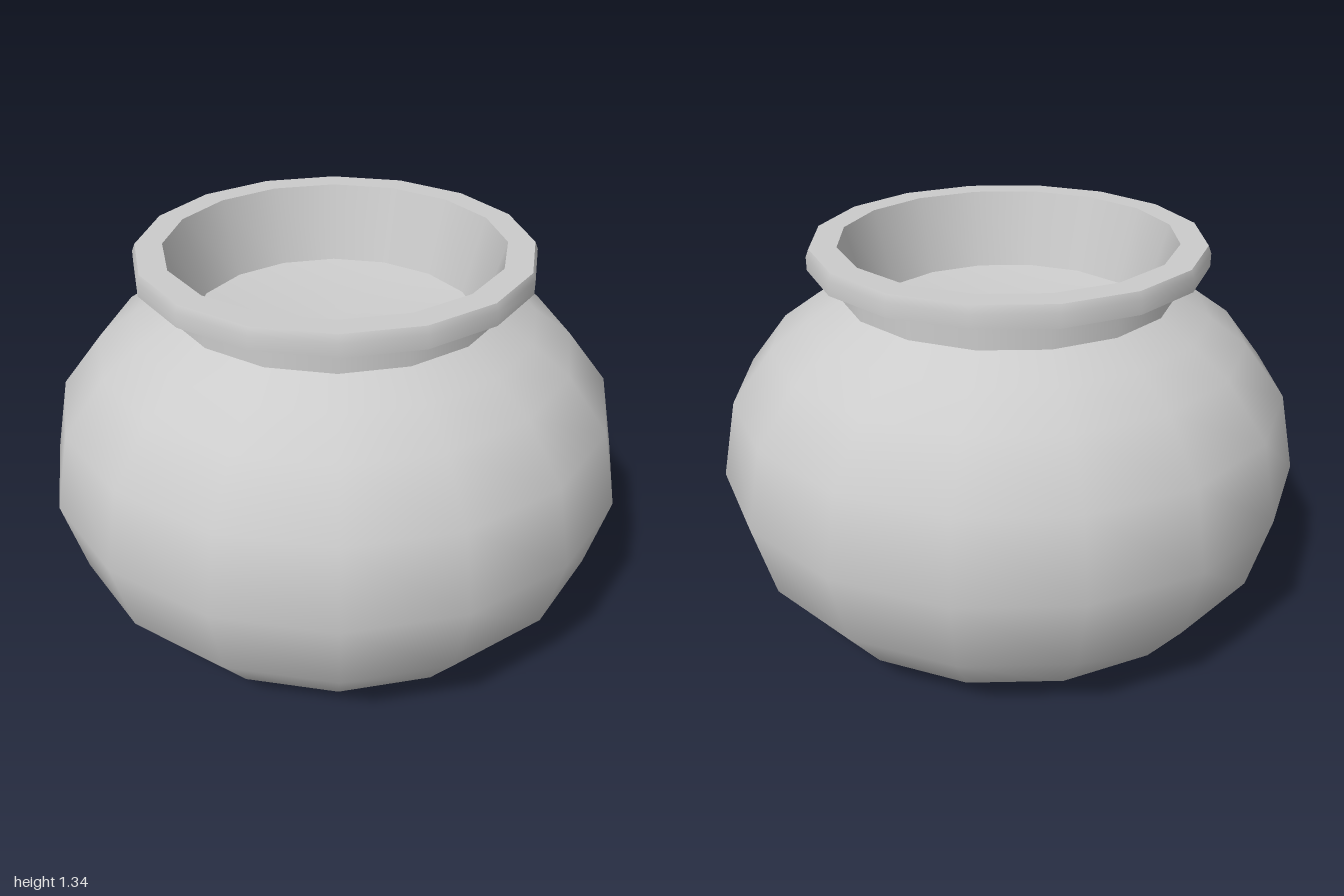
import * as THREE from 'three';

const SIDES = 16;

// Each profile runs bottom-to-top outside, then down the inside, so faces point outward.
// Separate profiles meet at sharp edges; points within one profile shade smoothly.
const PARTS = {
  base: [[0, 0], [0.65, 0]],
  body: [[0.65, 0], [0.79, 0.11], [0.93, 0.29], [1, 0.555], [0.945, 0.82], [0.805, 1.0], [0.68, 1.09], [0.565, 1.16]],
  neck: [[0.565, 1.16], [0.565, 1.265]],
  lipUnderside: [[0.565, 1.265], [0.665, 1.265]],
  lipSide: [[0.665, 1.265], [0.665, 1.31], [0.655, 1.335]],
  lipTop: [[0.655, 1.335], [0.565, 1.335]],
  innerWall: [[0.565, 1.335], [0.49, 1.07]],
  innerFloor: [[0.49, 1.07], [0.28, 1.04], [0, 1.03]],
};

export function createModel() {
  const pot = new THREE.Group();
  pot.name = 'pot';
  const material = new THREE.MeshStandardMaterial({ color: 0xcccccc, side: THREE.DoubleSide });
  for (const [name, profile] of Object.entries(PARTS)) {
    const points = profile.map(([r, y]) => new THREE.Vector2(r, y));
    const mesh = new THREE.Mesh(new THREE.LatheGeometry(points, SIDES), material);
    mesh.name = name;
    pot.add(mesh);
  }
  return pot;
}
